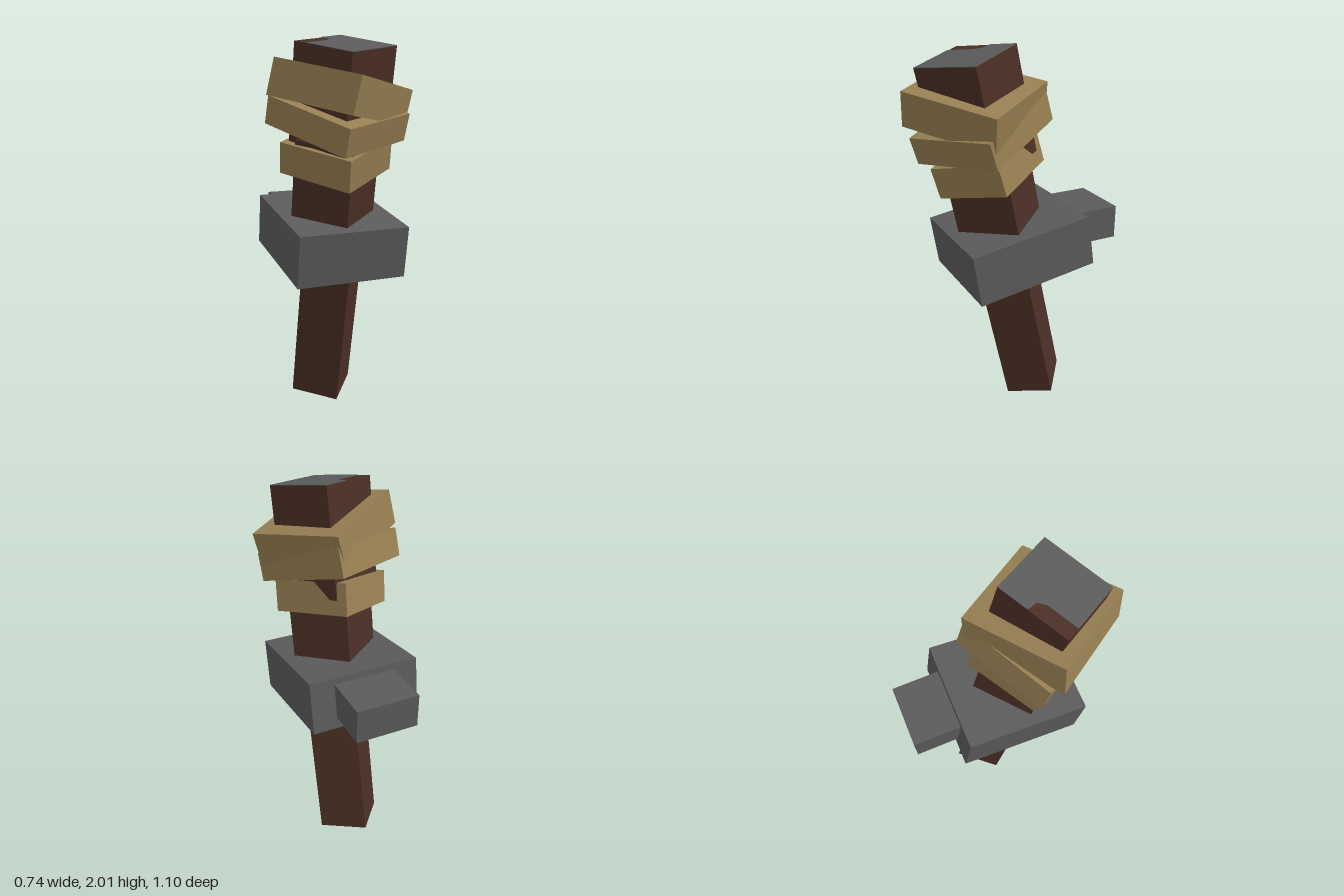
import * as THREE from 'three';

const wood = new THREE.MeshStandardMaterial({ name: 'dark wood', color: 0x4b2f25 });
const gold = new THREE.MeshStandardMaterial({ name: 'dull gold', color: 0x977f52 });
const iron = new THREE.MeshStandardMaterial({ name: 'iron gray', color: 0x5b5b5b });

// Group whose origin is the front bottom corner of a tilted block:
// x runs to the right corner, y up the block, -z to the left corner.
function cornerFrame(corner, toRight, toLeft) {
  const right = new THREE.Vector3(...toRight).normalize();
  const up = new THREE.Vector3().crossVectors(right, new THREE.Vector3(...toLeft)).normalize();
  const back = new THREE.Vector3().crossVectors(right, up);
  const frame = new THREE.Group();
  frame.quaternion.setFromRotationMatrix(new THREE.Matrix4().makeBasis(right, up, back));
  frame.position.set(...corner);
  return frame;
}

function cornerBlock({ name, material, corner, toRight, toLeft, height }) {
  const frame = cornerFrame(corner, toRight, toLeft);
  const w = Math.hypot(...toRight), d = Math.hypot(...toLeft);
  const mesh = new THREE.Mesh(new THREE.BoxGeometry(w, height, d), material);
  mesh.position.set(w / 2, height / 2, -d / 2);
  mesh.name = name;
  frame.name = name + 'Frame';
  frame.add(mesh);
  return frame;
}

function box(name, size, position, tilt = 0) {
  const mesh = new THREE.Mesh(new THREE.BoxGeometry(...size), iron);
  mesh.name = name;
  mesh.position.set(...position);
  mesh.rotation.x = tilt;
  return mesh;
}

export function createModel() {
  const model = new THREE.Group();
  model.name = 'wallTorch';

  // Leaning wooden shaft, thicker core and head
  const parts = [
    { name: 'handle', material: wood, corner: [0.04, 0.003, 0.04],
      toRight: [0.16, 0.043, -0.2], toLeft: [-0.205, 0.035, -0.16], height: 0.9 },
    { name: 'core', material: wood, corner: [-0.01, 0.745, 0.235],
      toRight: [0.25, 0.047, -0.22], toLeft: [-0.21, 0.045, -0.235], height: 0.72 },
    { name: 'head', material: wood, corner: [-0.067, 1.367, 0.362],
      toRight: [0.315, 0.04, -0.18], toLeft: [-0.175, 0.06, -0.29], height: 0.55 },
    // Three crooked bands around the head
    { name: 'lowerBand', material: gold, corner: [-0.04, 1.25, 0.38],
      toRight: [0.325, 0.08, -0.215], toLeft: [-0.245, 0.07, -0.33], height: 0.165 },
    { name: 'middleBand', material: gold, corner: [-0.1, 1.43, 0.467],
      toRight: [0.43, 0.05, -0.235], toLeft: [-0.23, 0.145, -0.44], height: 0.144 },
    { name: 'upperBand', material: gold, corner: [-0.095, 1.63, 0.54],
      toRight: [0.42, -0.075, -0.3], toLeft: [-0.28, 0.085, -0.405], height: 0.183 },
  ];
  for (const part of parts) model.add(cornerBlock(part));

  // Gray top plate, notched at one corner so the wood shows
  const outline = [[0, 0], [0.365, 0], [0.365, 0.344], [0.21, 0.344], [0.2, 0.29], [0.16, 0.27], [0, 0.27]];
  const plateGeometry = new THREE.ExtrudeGeometry(
    new THREE.Shape(outline.map(([x, y]) => new THREE.Vector2(x, y))),
    { depth: 0.003, bevelEnabled: false });
  plateGeometry.rotateX(-Math.PI / 2);
  const plate = new THREE.Mesh(plateGeometry, iron);
  plate.name = 'topPlate';
  plate.position.y = 0.55;
  const plateFrame = cornerFrame(parts[2].corner, parts[2].toRight, parts[2].toLeft);
  plateFrame.name = 'topPlateFrame';
  plateFrame.add(plate);
  model.add(plateFrame);

  // Wall bracket
  model.add(box('bracketCollar', [0.59, 0.275, 0.658], [0.01, 0.966, 0.01], 0.153));
  model.add(box('wallMount', [0.33, 0.18, 0.3], [0.01, 1.03, -0.403]));

  return model;
}
